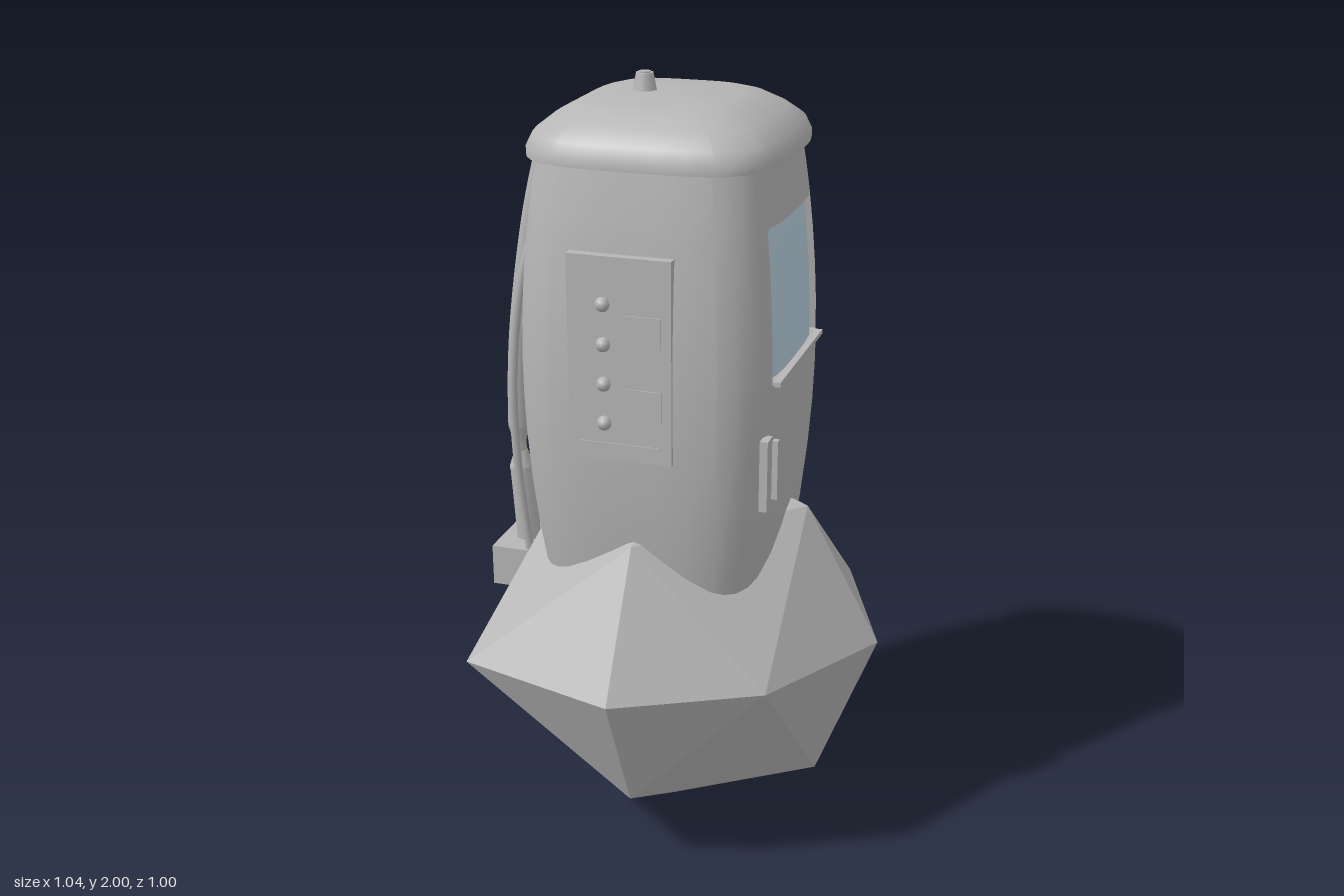
import * as THREE from 'three';
import { toCreasedNormals } from 'three/addons/utils/BufferGeometryUtils.js';

const CX = -0.04, CZ = -0.03, POWER = 3.7;
const grey = new THREE.MeshStandardMaterial({ color: 0xb6b6b6 });
grey.name = 'grey';
const glass = new THREE.MeshStandardMaterial({ color: 0xb8d0de });
glass.name = 'paleBlueGlass';

// Rounded-square cross-section of half-width 1
const side = (v) => Math.pow(1 - Math.pow(Math.abs(v), POWER), 1 / POWER);
const diag = Math.pow(0.5, 1 / POWER);
function section() {
  const oct = [0, 0.2, 0.42, 0.62, 0.64, 0.74];
  const quad = [...oct.map((v) => [side(v), v]), [diag, diag],
    ...oct.slice(1).reverse().map((v) => [v, side(v)])];
  const ring = [];
  for (let k = 0; k < 4; k++) {
    for (const p of quad) {
      let [u, v] = p;
      for (let r = 0; r < k; r++) [u, v] = [-v, u];
      ring.push([u, v]);
    }
  }
  return ring;
}

// Skin a stack of [y, half-width] rows; move(x, y, u, v) may shift x
function loft(rows, move = (x) => x) {
  const ring = section(), n = ring.length, pos = [], idx = [];
  for (const [y, h] of rows) {
    for (const [u, v] of ring) pos.push(move(CX + u * h, y, u, v), y, CZ + v * h);
  }
  for (let i = 0; i < rows.length - 1; i++) {
    for (let j = 0; j < n; j++) {
      const a = i * n + j, b = i * n + (j + 1) % n;
      idx.push(a, a + n, b, b, a + n, b + n);
    }
  }
  const g = new THREE.BufferGeometry();
  g.setAttribute('position', new THREE.Float32BufferAttribute(pos, 3));
  g.setIndex(idx);
  return toCreasedNormals(g, 0.6);
}

const bodyHalf = (y) => 0.335 - 0.045 * Math.pow((y - 1.3) / 0.54, 2);

// Faceted boulder: a distorted octahedron split once
function boulderGeometry() {
  const V = {
    '0,-1,0': [-0.04, 0.005, -0.03], '0,1,0': [-0.04, 1.05, -0.03],
    '1,0,0': [0.515, 0.57, -0.03], '-1,0,0': [-0.47, 0.57, -0.03],
    '0,0,1': [-0.04, 0.57, 0.5], '0,0,-1': [-0.04, 0.57, -0.5],
    '1,0,1': [0.31, 0.57, 0.32], '-1,0,1': [-0.455, 0.57, 0.385],
    '-1,0,-1': [-0.385, 0.57, -0.38], '1,0,-1': [0.355, 0.57, -0.425],
    '0,-1,1': [-0.04, 0.21, 0.33], '0,-1,-1': [-0.04, 0.155, -0.44],
    '1,-1,0': [0.36, 0.165, -0.03], '-1,-1,0': [-0.385, 0.22, -0.03],
    '0,1,1': [-0.04, 0.91, 0.3], '0,1,-1': [-0.04, 0.91, -0.34],
    '1,1,0': [0.32, 0.93, -0.03], '-1,1,0': [-0.34, 0.9, -0.03],
  };
  const pos = [];
  for (const x of [1, -1]) for (const y of [1, -1]) for (const z of [1, -1]) {
    const at = (i, j, k) => V[[i ? x : 0, j ? y : 0, k ? z : 0].join()];
    const a = at(1, 0, 0), b = at(0, 1, 0), c = at(0, 0, 1);
    const ab = at(1, 1, 0), bc = at(0, 1, 1), ca = at(1, 0, 1);
    for (const t of [[a, ab, ca], [ab, b, bc], [ca, bc, c], [ab, bc, ca]]) {
      pos.push(...(x * y * z > 0 ? t : t.reverse()).flat());
    }
  }
  const g = new THREE.BufferGeometry();
  g.setAttribute('position', new THREE.Float32BufferAttribute(pos, 3));
  g.computeVertexNormals();
  return g;
}

export function createModel() {
  const root = new THREE.Group();
  root.name = 'boothOnBoulder';
  const add = (name, geo, x = 0, y = 0, z = 0, parent = root, mat = grey) => {
    const m = new THREE.Mesh(geo, mat);
    m.name = name;
    m.position.set(x, y, z);
    parent.add(m);
    return m;
  };
  const box = (w, h, d) => new THREE.BoxGeometry(w, h, d);
  const tube = (pts, r, sides = 8) => new THREE.TubeGeometry(
    new THREE.CatmullRomCurve3(pts.map((p) => new THREE.Vector3(...p))), 24, r, sides);

  add('boulder', boulderGeometry());

  // Bulging cabin with a recessed window opening on its left side
  const levels = [0.68, 0.78, 0.9, 1.02, 1.14, 1.24, 1.325, 1.332, 1.42, 1.51, 1.6, 1.688, 1.695, 1.77, 1.85];
  add('cabin', loft(levels.map((y) => [y, bodyHalf(y)]), (x, y, u, v) =>
    (u > 0 && Math.abs(v) < 0.63 && y > 1.33 && y < 1.69 ? x - 0.022 : x)));

  // Domed roof with a small rim
  add('roof', loft([[1.83, 0.27], [1.83, 0.312], [1.85, 0.312], [1.882, 0.297], [1.915, 0.255],
    [1.942, 0.205], [1.954, 0.165], [1.957, 0.0001]]));
  add('roofStud', new THREE.CylinderGeometry(0.022, 0.032, 0.05, 8), -0.107, 1.972, CZ);
  add('roofStudCap', new THREE.CylinderGeometry(0.016, 0.016, 0.014, 8), -0.107, 1.993, CZ);

  // Window pane following the cabin's curve
  const pane = new THREE.PlaneGeometry(1.24, 0.358, 8, 6);
  const p = pane.attributes.position;
  for (let i = 0; i < p.count; i++) {
    const v = -p.getX(i), y = 1.51 + p.getY(i), h = bodyHalf(y);
    p.setXYZ(i, CX + h * side(v) - 0.017, y, CZ + h * v);
  }
  pane.computeVertexNormals();
  add('windowPane', pane, 0, 0, 0, root, glass);
  add('windowSill', box(0.018, 0.012, 0.42), 0.286, 1.325, CZ);

  // Door handle
  add('handlePlate', box(0.02, 0.18, 0.045), 0.272, 1.11, 0.215);
  add('handleBar', box(0.014, 0.15, 0.016), 0.296, 1.125, 0.215);

  // Control panels on the front and back
  for (const s of [1, -1]) {
    const panel = new THREE.Group();
    panel.name = s > 0 ? 'frontPanel' : 'backPanel';
    panel.position.z = CZ;
    root.add(panel);
    add('panelPlate', box(0.255, 0.5, 0.045), -0.06, 1.39, s * 0.3175, panel);
    for (let i = 0; i < 4; i++) {
      add('button', new THREE.SphereGeometry(0.018, 8, 6), -0.097, 1.235 + i * 0.0975, s * 0.347, panel);
    }
    for (const y of [1.5, 1.32]) {
      add('panelLine', box(0.085, 0.006, 0.003), 0.0, y, s * 0.341, panel);
      add('panelLine', box(0.006, 0.075, 0.003), 0.04, y - 0.035, s * 0.341, panel);
    }
    add('panelLine', box(0.2, 0.006, 0.003), -0.06, 1.18, s * 0.341, panel);
  }

  // Main pipe on the right side, pinched at a joint
  add('upperPipe', tube([[-0.355, 1.83, CZ], [-0.405, 1.62, CZ], [-0.446, 1.36, CZ],
    [-0.46, 1.2, CZ], [-0.464, 1.06, CZ]], 0.031));
  add('pipeTopCap', new THREE.CylinderGeometry(0.031, 0.031, 0.006, 8), -0.355, 1.828, CZ).rotation.z = 0.22;
  add('jointUpper', new THREE.CylinderGeometry(0.031, 0.017, 0.05, 8), -0.464, 1.036, CZ);
  add('jointNeck', new THREE.CylinderGeometry(0.018, 0.018, 0.04, 8), -0.463, 1.0, CZ);
  add('jointLower', new THREE.CylinderGeometry(0.017, 0.034, 0.05, 8), -0.461, 0.965, CZ);
  add('lowerPipe', tube([[-0.46, 0.945, CZ], [-0.453, 0.84, CZ], [-0.446, 0.72, CZ]], 0.034));

  // Slim hoses either side of the main pipe, running down to the box
  for (const s of [1, -1]) {
    add('hose', tube([[-0.345, 1.66, CZ + s * 0.12], [-0.385, 1.5, CZ + s * 0.138],
      [-0.418, 1.25, CZ + s * 0.132], [-0.427, 1.0, CZ + s * 0.105],
      [-0.412, 0.72, CZ + s * 0.075]], 0.011, 6));
  }

  // Junction box with an inset cover
  add('junctionBox', box(0.15, 0.11, 0.185), -0.44, 0.685, CZ);
  add('boxCover', box(0.008, 0.06, 0.105), -0.517, 0.685, CZ);

  return root;
}
